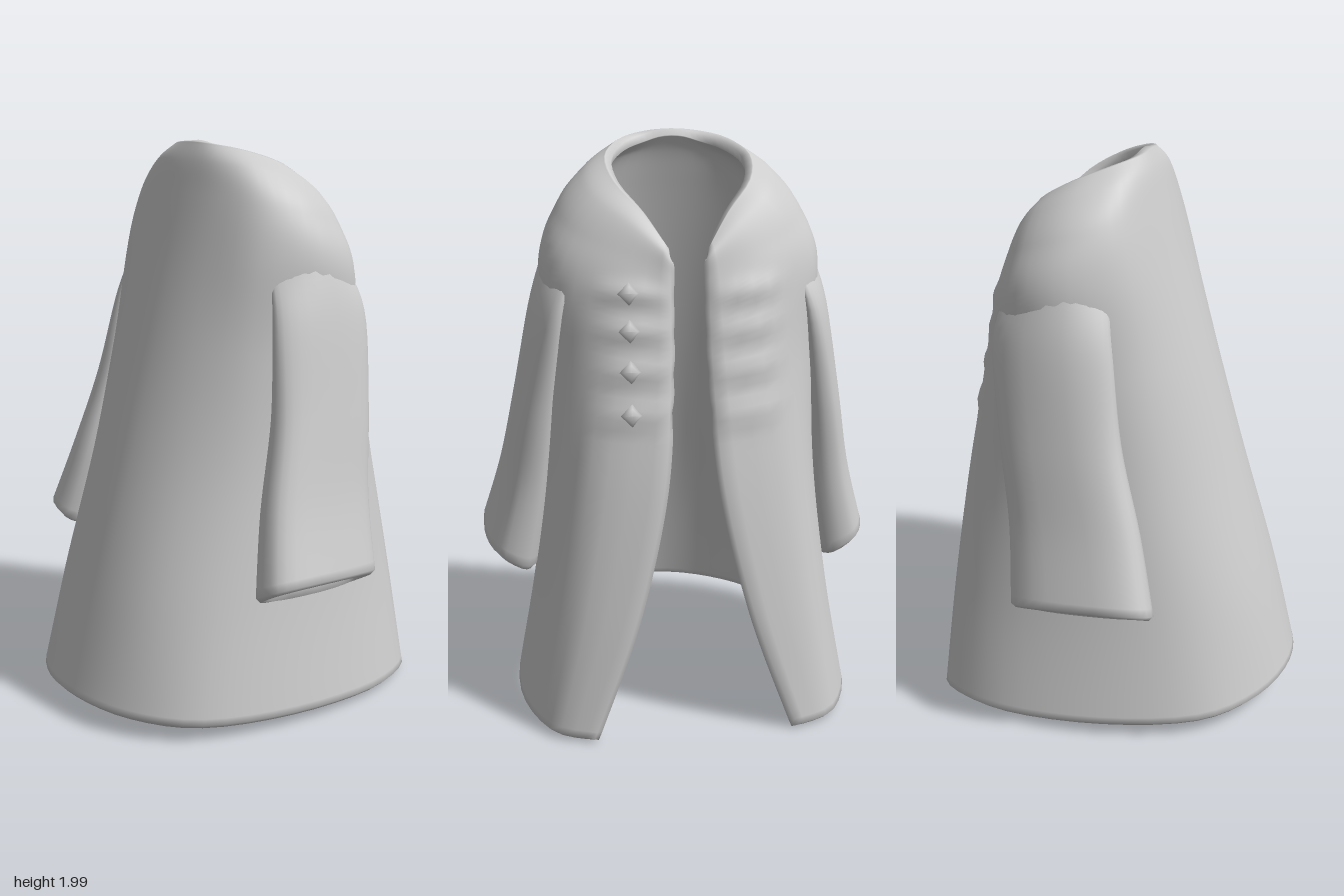
import * as THREE from 'three';

// Catmull-Rom blend through a list of number arrays, t in 0..1
function blend(list, t) {
  const n = list.length - 1, f = Math.min(t, 1) * n, i = Math.min(Math.floor(f), n - 1), k = f - i;
  const at = (j) => list[Math.max(0, Math.min(n, j))];
  return list[0].map((_, c) => {
    const a = at(i - 1)[c], b = at(i)[c], d = at(i + 1)[c], e = at(i + 2)[c];
    return b + 0.5 * k * (d - a + k * (2 * a - 5 * b + 4 * d - e + k * (3 * (b - d) + e - a)));
  });
}

function toGeometry(points, index) {
  const g = new THREE.BufferGeometry();
  g.setAttribute('position', new THREE.Float32BufferAttribute(points.flatMap((p) => [p.x, p.y, p.z]), 3));
  g.setIndex(index);
  g.computeVertexNormals();
  return g;
}

// Half cross-sections from neck to hem: heights at back and front, rise at the side,
// then x,z pairs from the closed centre round to the open edge
const SECTIONS = [
  [1.992, 1.65, 0.1, [0, 0.06, 0.1, 0.045, 0.19, -0.02, 0.245, -0.13, 0.225, -0.25, 0.14, -0.33, 0.065, -0.4]],
  [1.93, 1.62, 0.095, [0, 0.09, 0.15, 0.075, 0.26, 0.01, 0.325, -0.13, 0.3, -0.27, 0.18, -0.36, 0.065, -0.42]],
  [1.82, 1.56, 0.075, [0, 0.125, 0.18, 0.105, 0.33, 0.035, 0.413, -0.12, 0.38, -0.28, 0.23, -0.38, 0.065, -0.43]],
  [1.6, 1.45, 0.07, [0, 0.19, 0.19, 0.16, 0.36, 0.075, 0.472, -0.11, 0.445, -0.29, 0.27, -0.41, 0.065, -0.45]],
  [1.3, 1.22, 0.03, [0, 0.28, 0.2, 0.24, 0.37, 0.12, 0.455, -0.08, 0.445, -0.29, 0.3, -0.45, 0.072, -0.495]],
  [0.9, 0.85, 0, [0, 0.4, 0.22, 0.345, 0.385, 0.195, 0.455, -0.02, 0.46, -0.3, 0.35, -0.505, 0.105, -0.565]],
  [0.45, 0.42, 0, [0, 0.53, 0.24, 0.475, 0.415, 0.305, 0.505, 0.02, 0.515, -0.31, 0.42, -0.545, 0.205, -0.61]],
  [0.09, 0.015, 0, [0, 0.625, 0.25, 0.565, 0.45, 0.395, 0.565, 0.07, 0.59, -0.3, 0.5, -0.56, 0.35, -0.63]],
];
const BUTTONS = [[1.51, -0.425], [1.39, -0.45], [1.26, -0.475], [1.12, -0.5]];

// Thick open shell with a rounded rim
function bodyGeometry() {
  const U = 48, V = 72, thick = 0.043;
  const rows = SECTIONS.map(([yb, yf, rise, xz]) => {
    const half = [];
    for (let c = 0; c < 7; c++) {
      const t = c / 6;
      half.push([xz[2 * c], yb + (yf - yb) * t + rise * Math.sin(Math.PI * t), xz[2 * c + 1]]);
    }
    return [...half.slice(1).reverse().map(([x, y, z]) => [-x, y, z]), ...half];
  });
  const outer = [], id = (i, j) => j * (U + 1) + i;
  for (let j = 0; j <= V; j++) {
    const row = rows[0].map((_, c) => blend(rows.map((r) => r[c]), j / V));
    for (let i = 0; i <= U; i++) {
      const p = new THREE.Vector3(...blend(row, i / U));
      // Soft pleats level with each button
      if (p.z < -0.3) {
        const x = Math.abs(p.x);
        const mask = THREE.MathUtils.smoothstep(x, 0.08, 0.13) * (1 - THREE.MathUtils.smoothstep(x, 0.25, 0.31));
        for (const [y] of BUTTONS) p.z -= 0.014 * mask * Math.exp(-(((p.y - y) / 0.035) ** 2));
      }
      outer.push(p);
    }
  }
  const at = (i, j) => outer[id(Math.max(0, Math.min(U, i)), Math.max(0, Math.min(V, j)))];
  const inner = outer.map((p, k) => {
    const i = k % (U + 1), j = Math.floor(k / (U + 1));
    const du = at(i + 1, j).clone().sub(at(i - 1, j)), dv = at(i, j + 1).clone().sub(at(i, j - 1));
    return p.clone().addScaledVector(dv.cross(du).normalize(), -thick);
  });
  const N = outer.length, index = [], points = [...outer, ...inner];
  for (let j = 0; j < V; j++) for (let i = 0; i < U; i++) {
    const a = id(i, j), b = id(i, j + 1), c = id(i + 1, j), d = id(i + 1, j + 1);
    index.push(a, b, c, b, d, c, N + a, N + c, N + b, N + b, N + c, N + d);
  }
  // Rim runs round neck, both open edges and hem
  const loop = [];
  for (let i = 0; i < U; i++) loop.push([i, 0]);
  for (let j = 0; j < V; j++) loop.push([U, j]);
  for (let i = U; i > 0; i--) loop.push([i, V]);
  for (let j = V; j > 0; j--) loop.push([0, j]);
  for (const [i, j] of loop) {
    const o = outer[id(i, j)];
    const inside = at(Math.max(1, Math.min(U - 1, i)), Math.max(1, Math.min(V - 1, j)));
    const out = o.clone().sub(inside).normalize();
    points.push(o.clone().lerp(inner[id(i, j)], 0.5).addScaledVector(out, 0.014));
  }
  loop.forEach(([i, j], k) => {
    const n = (k + 1) % loop.length, o = id(i, j), p = id(...loop[n]), m = 2 * N + k, q = 2 * N + n;
    index.push(o, p, m, p, q, m, m, q, N + o, q, N + p, N + o);
  });
  return toGeometry(points, index);
}

// Sleeve rings: y, centre x, half x, centre z, half z, cuff tilt, wrap round the body.
// The top is thin and sinks into the shoulder.
function sleeveGeometry(side) {
  const path = [
    [1.72, 0.41, 0.008, -0.13, 0.07, 0, 0.03],
    [1.6, 0.452, 0.014, -0.135, 0.16, 0, 0.085],
    [1.42, 0.477, 0.042, -0.14, 0.21, 0, 0.05],
    [1.1, 0.508, 0.07, -0.095, 0.215, 0, 0.02],
    [0.8, 0.547, 0.086, -0.03, 0.232, 0.02, 0.01],
    [0.53, 0.602, 0.1, 0.015, 0.253, 0.05, 0.005],
  ];
  const rings = [];
  for (let k = 0; k <= 30; k++) rings.push(blend(path, k / 30));
  // Cuff rolls under and the lining runs back up inside
  rings.push([0.513, 0.602, 0.083, 0.015, 0.238, 0.05, 0.005], [0.52, 0.6, 0.056, 0.015, 0.212, 0.05, 0.005],
    [0.56, 0.592, 0.05, 0.01, 0.205, 0.05, 0.005], [0.8, 0.547, 0.05, -0.03, 0.195, 0.02, 0.01],
    [1.1, 0.508, 0.01, -0.09, 0.02, 0, 0]);
  const S = 28, points = [], index = [];
  const soft = (v) => Math.sign(v) * Math.abs(v) ** 0.75;
  for (const [y, cx, hx, cz, hz, tilt, wrap] of rings) for (let s = 0; s < S; s++) {
    const a = (s / S) * Math.PI * 2, c = soft(Math.cos(a)), d = soft(Math.sin(a));
    points.push(new THREE.Vector3(side * (cx + hx * c - wrap * d * d), y + tilt * c + 0.4 * tilt * d, cz + hz * d));
  }
  for (let r = 0; r < rings.length - 1; r++) for (let s = 0; s < S; s++) {
    const a = r * S + s, b = r * S + ((s + 1) % S), c = a + S, d = b + S;
    if (side > 0) index.push(a, b, c, b, d, c);
    else index.push(a, c, b, b, c, d);
  }
  return toGeometry(points, index);
}

export function createModel() {
  const cloth = new THREE.MeshStandardMaterial({ color: 0xcccccc });
  cloth.name = 'pale grey cloth';
  const coat = new THREE.Group();
  coat.name = 'coat';
  const add = (name, geometry) => {
    const mesh = new THREE.Mesh(geometry, cloth);
    mesh.name = name;
    coat.add(mesh);
    return mesh;
  };
  add('coatBody', bodyGeometry());
  add('leftSleeve', sleeveGeometry(1));
  add('rightSleeve', sleeveGeometry(-1));
  // Bevelled diamond buttons down one side of the opening
  const profile = [[0.024, -0.02], [0.038, 0.008], [0.024, 0.025], [0, 0.028]].map((p) => new THREE.Vector2(...p));
  const buttonGeometry = new THREE.LatheGeometry(profile, 4);
  BUTTONS.forEach(([y, z], i) => {
    const button = add('button' + (i + 1), buttonGeometry);
    button.position.set(0.2, y, z);
    button.rotation.x = -Math.PI / 2 + 0.2;
  });
  return coat;
}
